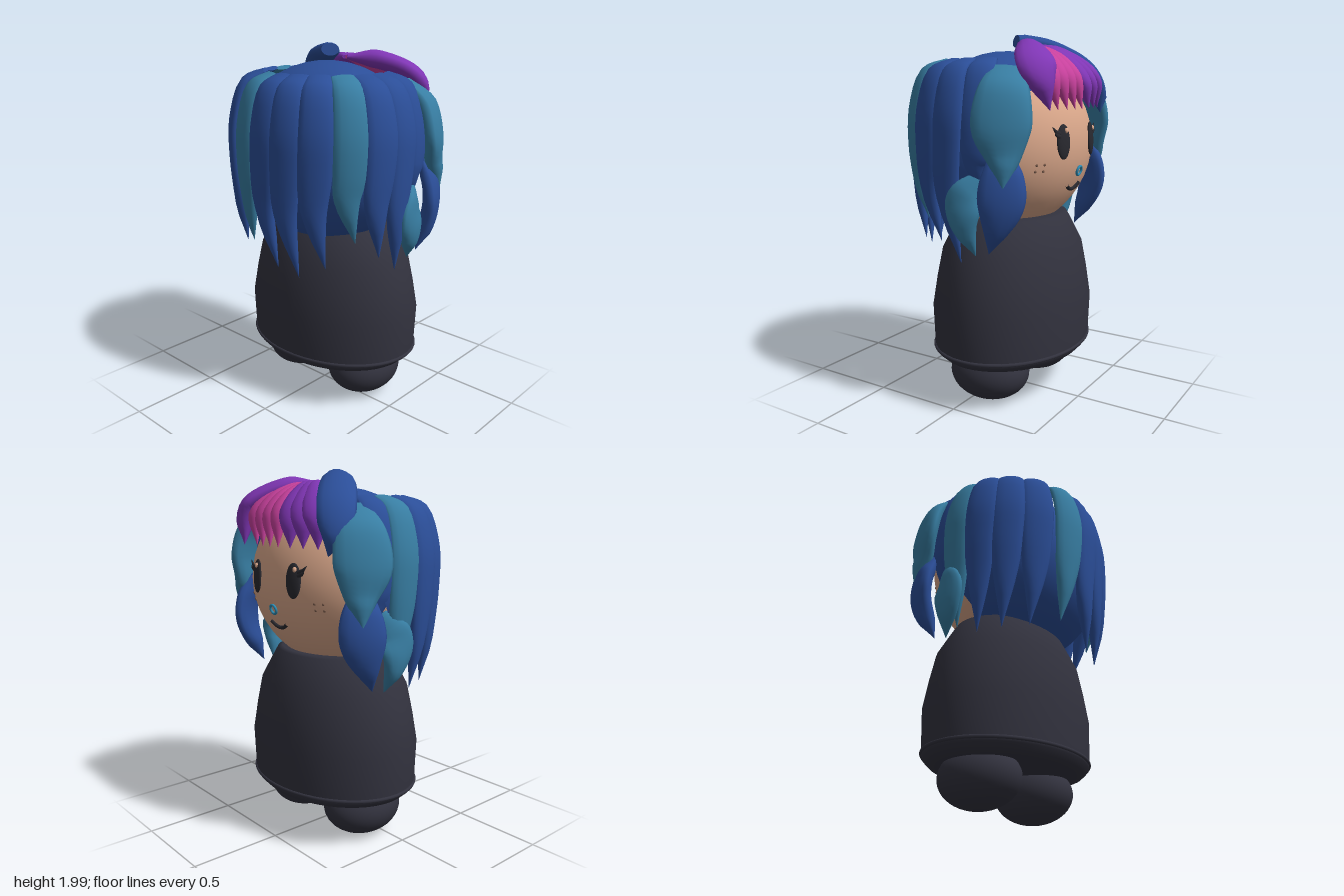
import * as THREE from 'three';

const mat = (name, color, side = THREE.FrontSide) => {
  const m = new THREE.MeshStandardMaterial({ color, side });
  m.name = name;
  return m;
};
const V = (x, y, z) => new THREE.Vector3(x, y, z);
const HEAD = V(0, 1.413, -0.03), R = V(0.525, 0.482, 0.455);

// Point on the face (the face looks toward -z) and its outward normal
function facePoint(x, y, lift = 0) {
  const dx = x / R.x, dy = (y - HEAD.y) / R.y;
  const z = -R.z * Math.sqrt(Math.max(0, 1 - dx * dx - dy * dy));
  const n = V(x / R.x ** 2, (y - HEAD.y) / R.y ** 2, z / R.z ** 2).normalize();
  return { p: V(x, y, HEAD.z + z).addScaledVector(n, lift), n };
}

// Tapered strand of hair: elliptical sections lofted along a curve, blunt at the root.
// rootFlat thins the root so that it lies flat on the scalp.
function lockGeometry(points, widths, thick, rootFlat = 1) {
  const steps = 20, sides = 14;
  const curve = new THREE.CatmullRomCurve3(points);
  const last = widths.length - 1;
  const widthCurve = new THREE.CatmullRomCurve3(widths.map((w, i) => V(i / last, w, 0)));
  const pos = [], idx = [];
  for (let i = 0; i <= steps; i++) {
    const t = i / steps, P = curve.getPoint(t), T = curve.getTangent(t);
    const N = P.clone().sub(HEAD);
    N.addScaledVector(T, -N.dot(T)).normalize();
    const S = N.clone().cross(T);
    const w = Math.max(0.001, widthCurve.getPoint(t).y);
    const h = Math.min(thick, w * 0.8) * Math.min(1, rootFlat + t * 3);
    for (let j = 0; j < sides; j++) {
      const a = (j / sides) * Math.PI * 2;
      const q = P.clone().addScaledVector(S, Math.cos(a) * w).addScaledVector(N, Math.sin(a) * h);
      pos.push(q.x, q.y, q.z);
      if (i < steps) {
        const k = (j + 1) % sides, A = i * sides + j, B = i * sides + k;
        idx.push(A, B, A + sides, B, B + sides, A + sides);
      }
    }
  }
  // root cap with its own vertices, so the edge stays sharp
  const base = pos.length / 3;
  pos.push(...pos.slice(0, sides * 3), points[0].x, points[0].y, points[0].z);
  for (let j = 0; j < sides; j++) idx.push(base + sides, base + (j + 1) % sides, base + j);
  const g = new THREE.BufferGeometry();
  g.setAttribute('position', new THREE.Float32BufferAttribute(pos, 3));
  g.setIndex(idx);
  g.computeVertexNormals();
  return g;
}

export function createModel() {
  const root = new THREE.Group();
  root.name = 'doll';
  const dark = mat('charcoal cloth', 0x32323e, THREE.DoubleSide);
  const skin = mat('skin', 0xdba88b);
  const blue = mat('blue hair', 0x2b4e98, THREE.DoubleSide);
  const teal = mat('teal hair', 0x387ea3);
  const purple = mat('purple hair', 0x8036b5);
  const pink = mat('pink hair', 0xc8419d);
  const black = mat('eye black', 0x29292f);
  const ringBlue = mat('ring blue', 0x2e8db5);
  const brown = mat('freckle brown', 0x80604f);

  const add = (name, geo, m, parent = root) => {
    const mesh = new THREE.Mesh(geo, m);
    mesh.name = name;
    parent.add(mesh);
    return mesh;
  };
  const group = (name) => {
    const g = new THREE.Group();
    g.name = name;
    root.add(g);
    return g;
  };
  const ball = (name, m, p, s, parent) => {
    const b = add(name, new THREE.SphereGeometry(1, 40, 24), m, parent);
    b.position.copy(p);
    b.scale.copy(s);
    return b;
  };

  // Body: oval robe with a hem ring
  const profile = [[0, 0.24], [0.44, 0.24], [0.485, 0.25], [0.52, 0.28], [0.525, 0.3], [0.535, 0.53],
    [0.505, 0.69], [0.47, 0.84], [0.41, 0.94], [0.36, 1.02], [0.33, 1.03], [0, 1.03]];
  const body = add('body', new THREE.LatheGeometry(profile.map(([x, y]) => new THREE.Vector2(x, y)), 48), dark);
  body.position.z = -0.075;
  body.scale.z = 0.775;
  const hem = add('hem', new THREE.TorusGeometry(0.525, 0.01, 8, 64).rotateX(Math.PI / 2), dark);
  hem.position.set(0, 0.3, -0.075);
  hem.scale.z = 0.775;
  for (const s of [-1, 1])
    ball(s > 0 ? 'leftFoot' : 'rightFoot', dark, V(s * 0.248, 0.165, -0.073), V(0.195, 0.16, 0.227), root);

  // Head
  ball('head', skin, HEAD, R, root);
  const face = group('face');
  const onFace = (mesh, x, y, lift = 0) => {
    const { p, n } = facePoint(x, y, lift);
    mesh.position.copy(p);
    mesh.lookAt(p.clone().add(n));
    return mesh;
  };
  for (const s of [-1, 1]) {
    onFace(ball('eye', black, V(0, 0, 0), V(0.046, 0.09, 0.016), face), s * 0.158, 1.44);
    onFace(ball('eyeHighlight', skin, V(0, 0, 0), V(0.011, 0.014, 0.01), face), s * 0.158 - 0.012, 1.495, 0.014);
    // lashes at the outer upper corner
    for (const [y0, x1, y1] of [[1.482, 0.235, 1.515], [1.467, 0.226, 1.485]]) {
      const pts = [facePoint(s * 0.185, y0, 0.008).p, facePoint(s * 0.21, y0 + 0.008, 0.012).p,
        facePoint(s * x1, y1, 0.02).p];
      add('eyelash', lockGeometry(pts, [0.011, 0.01, 0.001], 0.006), black, face);
    }
    // freckles
    for (const x of [0.265, 0.305])
      for (const y of [1.297, 1.33])
        onFace(ball('freckle', brown, V(0, 0, 0), V(0.007, 0.007, 0.004), face), s * x, y);
  }
  onFace(add('noseRing', new THREE.TorusGeometry(0.024, 0.007, 10, 28), ringBlue, face), 0, 1.282, 0.01);
  const smile = [-1, -0.5, 0, 0.5, 1].map((t) => facePoint(t * 0.068, 1.18 + 0.028 * t * t, 0.004).p);
  add('mouth', new THREE.TubeGeometry(new THREE.CatmullRomCurve3(smile), 20, 0.01, 8), black, face);

  // Hair cap over the top and back of the head
  const deg = Math.PI / 180;
  const cap = add('hairCap', new THREE.SphereGeometry(1, 48, 28, 0, Math.PI * 2, 0, 110 * deg).rotateX(64 * deg), blue);
  cap.scale.set(0.542, 0.492, 0.47);
  cap.position.set(0, 1.415, -0.022);

  // Long locks around the back: angle, colour, tip height
  const backHair = group('backHair');
  const backLocks = [[204, blue, 1.16], [186, teal, 0.92], [167, blue, 0.86], [149, blue, 0.87], [130, blue, 0.89],
    [107, teal, 0.95], [90, blue, 0.85], [74, blue, 0.82], [56, blue, 0.88], [36, teal, 1.02],
    [17, blue, 0.92], [-1, blue, 0.82], [-21, blue, 1.16]];
  for (const [angle, m, tip] of backLocks) {
    const at = (f, y, turn = 0) =>
      V(Math.cos((angle + turn) * deg) * 0.565 * f, y, Math.sin((angle + turn) * deg) * 0.49 * f);
    const mid = (tip + 1.5) / 2;
    const pts = [at(0.62, 1.85), at(0.81, 1.79), at(0.93, 1.6), at(0.94, 1.4, 1), at(0.91, mid, 2),
      at(0.84, tip, angle > 90 ? 5 : -5)];
    add('backLock', lockGeometry(pts, [0.06, 0.08, 0.092, 0.088, 0.068, 0.001], 0.036, 0.35), m, backHair);
  }

  // Leaf-shaped locks framing the face, mirrored
  const sideHair = group('sideHair');
  for (const s of [-1, 1]) {
    const side = (name, m, pts, widths, thick) =>
      add(name, lockGeometry(pts.map(([x, y, z]) => V(s * x, y, z)), widths, thick, 0.3), m, sideHair);
    side('templeLock', teal, [[0.36, 1.81, -0.25], [0.465, 1.69, -0.295], [0.508, 1.52, -0.31],
      [0.505, 1.37, -0.32], [0.54, 1.23, -0.34]], [0.08, 0.13, 0.146, 0.085, 0.001], 0.05);
    side('cheekLock', blue, [[0.46, 1.42, -0.27], [0.5, 1.27, -0.31], [0.51, 1.12, -0.305],
      [0.48, 0.89, -0.22]], [0.045, 0.11, 0.108, 0.001], 0.047);
    side('neckLock', teal, [[0.48, 1.28, -0.17], [0.52, 1.16, -0.105], [0.53, 1.04, -0.1],
      [0.48, 0.87, -0.14]], [0.035, 0.1, 0.08, 0.001], 0.04);
  }

  // Fringe fanning out from the parting
  const fringe = group('fringe');
  const strands = [[-0.28, purple], [-0.19, purple], [-0.1, purple], [-0.005, pink], [0.07, pink], [0.145, pink], [0.22, pink]];
  for (const [x, m] of strands) {
    const back = x * x * 0.5;
    const pts = [V(0.03 + x * 0.05, 1.92, -0.14), V(0.02 + x * 0.5, 1.888, -0.28),
      V(x, 1.77, -0.425 + back * 0.5), V(x - 0.035, 1.6, -0.468 + back)];
    const w = m === purple ? 0.072 : 0.056;
    add('fringeStrand', lockGeometry(pts, [0.012, w * 0.75, w, 0.001], 0.042), m, fringe);
  }
  add('fringeSweep', lockGeometry([V(0.035, 1.92, -0.14), V(0.18, 1.898, -0.28), V(0.32, 1.8, -0.4),
    V(0.29, 1.6, -0.455)], [0.015, 0.08, 0.1, 0.001], 0.05), purple, fringe);
  add('partingLock', lockGeometry([V(-0.025, 1.96, -0.07), V(-0.19, 1.925, -0.2), V(-0.34, 1.82, -0.335),
    V(-0.395, 1.7, -0.39), V(-0.38, 1.57, -0.42)], [0.05, 0.09, 0.1, 0.08, 0.001], 0.042, 0.85), blue, fringe);

  return root;
}
